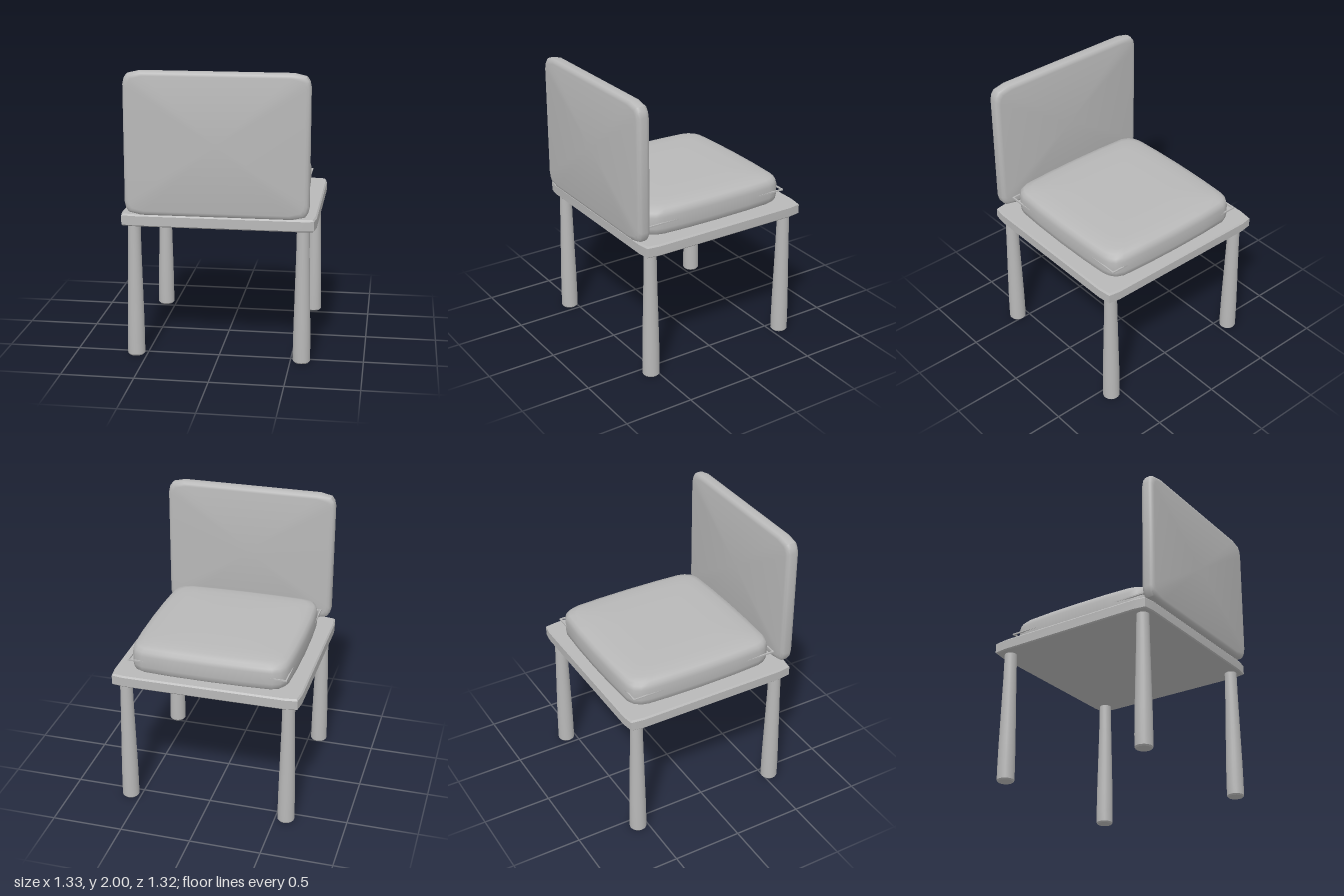
import * as THREE from 'three';
import { toCreasedNormals } from 'three/addons/utils/BufferGeometryUtils.js';

// Mirror a quarter outline (from the +x side to the +z side) into a closed loop
function fullOutline(q) {
  const r = [...q].reverse();
  const loop = [
    ...q,
    ...r.map(([x, z]) => [-x, z]),
    ...q.map(([x, z]) => [-x, -z]),
    ...r.map(([x, z]) => [x, -z]),
  ];
  return loop.filter(([x, z], i) => {
    const [px, pz] = loop[(i + loop.length - 1) % loop.length];
    return Math.hypot(x - px, z - pz) > 1e-6;
  });
}

// Stack the outline along y; each profile entry is [height, inset]
function stackedSlab(quarter, profile, crease) {
  const loop = fullOutline(quarter);
  const n = loop.length;
  const hx = Math.max(...quarter.map((p) => p[0]));
  const hz = Math.max(...quarter.map((p) => p[1]));
  const pos = [];
  const index = [];
  for (const [y, d] of profile) {
    for (const [x, z] of loop) pos.push(x * (1 - d / hx), y, z * (1 - d / hz));
  }
  const last = profile.length - 1;
  const bottom = pos.length / 3;
  pos.push(0, profile[0][0], 0, 0, profile[last][0], 0);
  for (let j = 0; j < n; j++) {
    const k = (j + 1) % n;
    for (let i = 0; i < last; i++) {
      const a = i * n + j, b = i * n + k, c = a + n, d = b + n;
      index.push(a, c, b, b, c, d);
    }
    index.push(bottom, j, k, bottom + 1, last * n + k, last * n + j);
  }
  const g = new THREE.BufferGeometry();
  g.setAttribute('position', new THREE.Float32BufferAttribute(pos, 3));
  g.setIndex(index);
  return toCreasedNormals(g, crease);
}

export function createModel() {
  const model = new THREE.Group();
  model.name = 'chair';
  const grey = new THREE.MeshStandardMaterial({ color: 0xb8b8b8 });
  grey.name = 'plain grey';

  const add = (name, geometry, x, y, z, parent = model) => {
    const mesh = new THREE.Mesh(geometry, grey);
    mesh.name = name;
    mesh.position.set(x, y, z);
    parent.add(mesh);
    return mesh;
  };

  // Seat board with clipped corners
  add('seatBoard', stackedSlab(
    [[0.665, 0.54], [0.652, 0.63], [0.57, 0.643]],
    [[0.94, 0.008], [0.948, 0], [1.012, 0], [1.023, 0.01]], 0.5,
  ), 0, 0, -0.017);

  // Soft cushion with a domed top
  add('cushion', stackedSlab(
    [[0.568, 0], [0.564, 0.25], [0.554, 0.44], [0.54, 0.49], [0.512, 0.53],
      [0.46, 0.554], [0.25, 0.565], [0, 0.569]],
    [[1.022, 0.018], [1.035, 0.005], [1.07, 0], [1.15, 0], [1.18, 0.007],
      [1.2, 0.025], [1.212, 0.065], [1.22, 0.15], [1.225, 0.3]], 1.1,
  ), 0, 0, -0.02);

  // Thin square trim whose corners stick out of the cushion
  const trim = new THREE.Group();
  trim.name = 'cushionTrim';
  model.add(trim);
  for (const s of [-1, 1]) {
    add('trimSide', new THREE.BoxGeometry(0.01, 0.01, 1.115), s * 0.555, 1.11, -0.018, trim);
    add('trimEnd', new THREE.BoxGeometry(1.1, 0.01, 0.01), 0, 1.11, -0.018 + s * 0.5525, trim);
  }

  // Upright padded panel
  const panel = add('backrest', stackedSlab(
    [[0.622, 0.4], [0.613, 0.44], [0.593, 0.468], [0.51, 0.487]],
    [[-0.047, 0.032], [-0.043, 0.015], [-0.03, 0.003], [-0.015, 0],
      [0.015, 0], [0.03, 0.003], [0.043, 0.015], [0.047, 0.032]], 0.7,
  ), 0, 1.512, 0.608);
  panel.rotation.x = Math.PI / 2;

  // Four turned legs, wider at the foot
  const legProfile = [[0, 0], [0.052, 0], [0.06, 0.01], [0.06, 0.1], [0.058, 0.25],
    [0.046, 0.75], [0.043, 0.95], [0, 0.95]].map(([r, y]) => new THREE.Vector2(r, y));
  const legGeometry = toCreasedNormals(new THREE.LatheGeometry(legProfile, 20), 0.6);
  for (const x of [-0.577, 0.577]) {
    for (const z of [0.545, -0.57]) {
      add(z > 0 ? 'frontLeg' : 'rearLeg', legGeometry, x, 0, z);
    }
  }
  return model;
}
